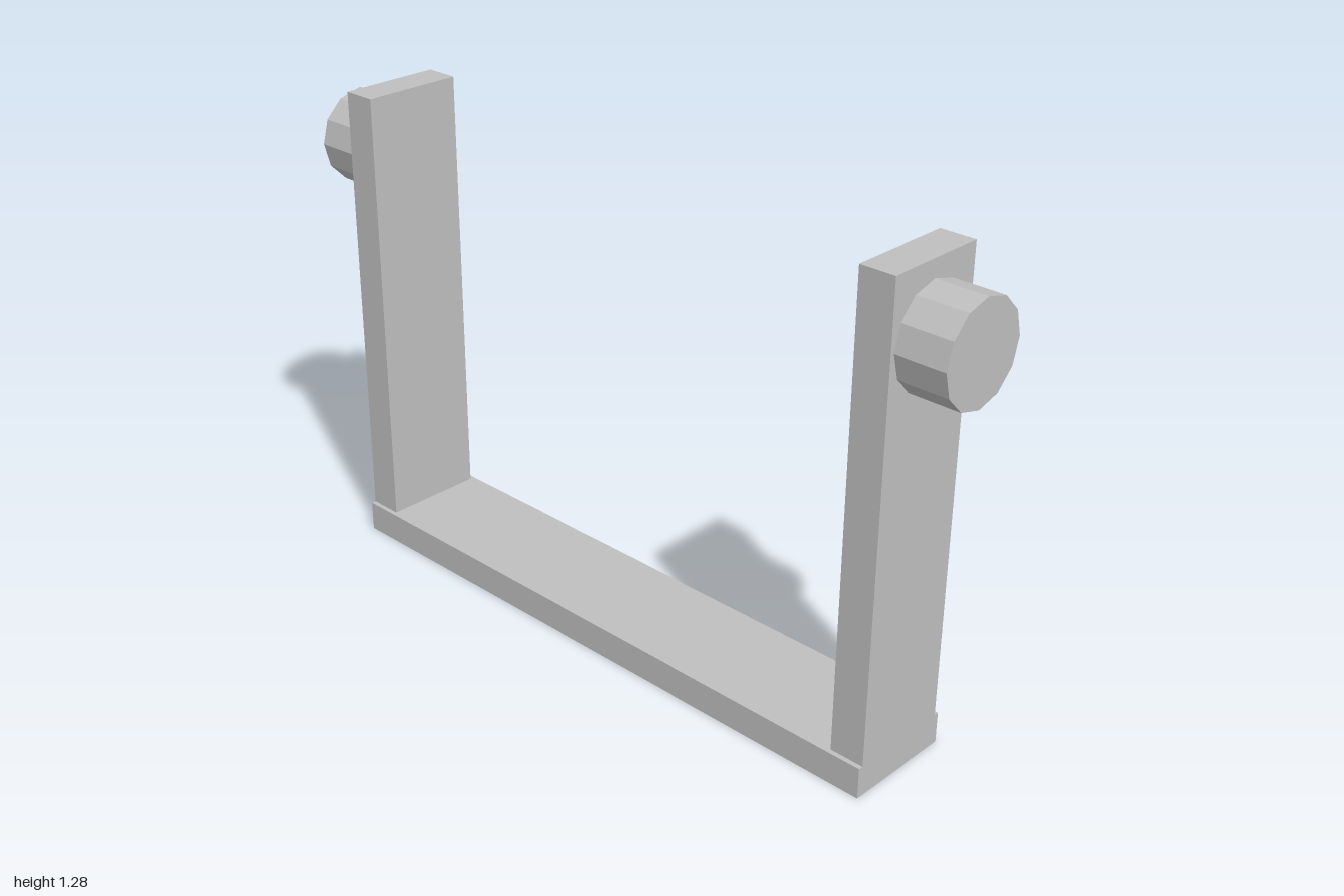
import * as THREE from 'three';

export function createModel() {
  const group = new THREE.Group();
  const grey = new THREE.MeshStandardMaterial({ color: 0xbfbfbf, flatShading: true });
  grey.name = 'grey';

  const add = (name, geometry, x, y) => {
    const mesh = new THREE.Mesh(geometry, grey);
    mesh.name = name;
    mesh.position.set(x, y, 0);
    group.add(mesh);
  };

  // Flat crossbar on the ground
  add('base', new THREE.BoxGeometry(1.738, 0.082, 0.3), 0, 0.041);

  // Upright arms, each with a twelve-sided knob on its outer face
  const armGeometry = new THREE.BoxGeometry(0.092, 1.196, 0.275);
  const knobGeometry = new THREE.CylinderGeometry(0.127, 0.127, 0.131, 12).rotateZ(Math.PI / 2);
  for (const [side, s] of [['left', 1], ['right', -1]]) {
    add(`${side}Arm`, armGeometry, s * 0.823, 0.68);
    add(`${side}Knob`, knobGeometry, s * 0.9345, 1.105);
  }
  return group;
}
